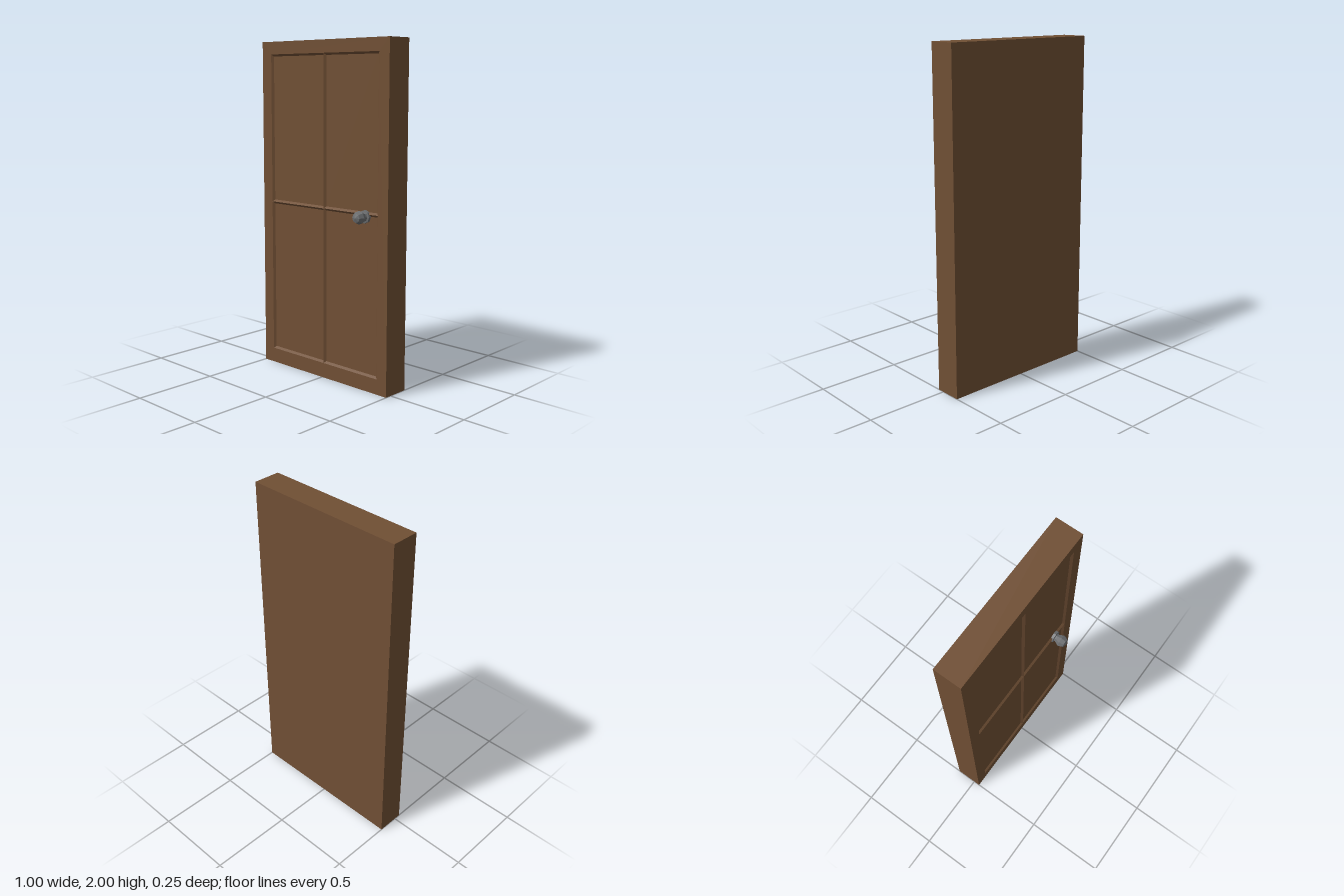
import * as THREE from 'three';

const FRONT = 0.04, BACK = -0.125, DEPTH = 0.012, BEVEL = 0.012;

// Sunken panel: four sloping walls around a flat floor
function sunkenPanel(x0, x1, y0, y1) {
  const ring = (inset, z) => [
    [x0 + inset, y0 + inset, z], [x1 - inset, y0 + inset, z],
    [x1 - inset, y1 - inset, z], [x0 + inset, y1 - inset, z],
  ];
  const rim = ring(0, FRONT), floor = ring(BEVEL, FRONT - DEPTH);
  const pos = [];
  const quad = (a, b, c, d) => pos.push(...a, ...b, ...c, ...a, ...c, ...d);
  for (let i = 0; i < 4; i++) {
    const j = (i + 1) % 4;
    quad(rim[i], rim[j], floor[j], floor[i]);
  }
  quad(...floor);
  const geo = new THREE.BufferGeometry();
  geo.setAttribute('position', new THREE.Float32BufferAttribute(pos, 3));
  geo.computeVertexNormals();
  return geo;
}

function rectangle(Type, x0, x1, y0, y1) {
  return new Type([[x0, y0], [x1, y0], [x1, y1], [x0, y1]].map(p => new THREE.Vector2(...p)));
}

export function createModel() {
  const model = new THREE.Group();
  const wood = new THREE.MeshStandardMaterial({ color: 0x704f34 });
  wood.name = 'brown wood';
  const metal = new THREE.MeshStandardMaterial({ color: 0x6c6e70, flatShading: true });
  metal.name = 'grey metal';
  const add = (parent, name, geo, mat) => {
    const mesh = new THREE.Mesh(geo, mat);
    mesh.name = name;
    parent.add(mesh);
    return mesh;
  };

  const door = new THREE.Group();
  door.name = 'door';
  model.add(door);

  // Slab without its front face
  const slab = new THREE.BoxGeometry(1, 2, FRONT - BACK);
  const index = Array.from(slab.index.array);
  index.splice(24, 6);
  slab.setIndex(index);
  slab.clearGroups();
  slab.translate(0, 1, (FRONT + BACK) / 2);
  add(door, 'slab', slab, wood);

  // Front frame around the panels
  const xs = [-0.425, 0.012, 0.428], ys = [0.09, 1.03, 1.925];
  const frame = rectangle(THREE.Shape, -0.5, 0.5, 0, 2);
  frame.holes.push(rectangle(THREE.Path, xs[0], xs[2], ys[0], ys[2]));
  add(door, 'frontFrame', new THREE.ShapeGeometry(frame).translate(0, 0, FRONT), wood);

  // Four panels meeting at sharp ridges
  for (let i = 0; i < 2; i++) {
    for (let j = 0; j < 2; j++) {
      add(door, (j ? 'upper' : 'lower') + (i ? 'Left' : 'Right') + 'Panel',
        sunkenPanel(xs[i], xs[i + 1], ys[j], ys[j + 1]), wood);
    }
  }

  // Faceted knob with its base plate
  const profile = [[0.038, -0.012], [0.038, 0.005], [0.027, 0.007], [0.025, 0.016],
    [0.039, 0.045], [0.027, 0.073], [0, 0.082]].map(p => new THREE.Vector2(...p));
  const knob = add(model, 'doorKnob', new THREE.LatheGeometry(profile, 8), metal);
  knob.rotation.x = Math.PI / 2;
  knob.position.set(0.33, 1.015, FRONT);

  return model;
}
